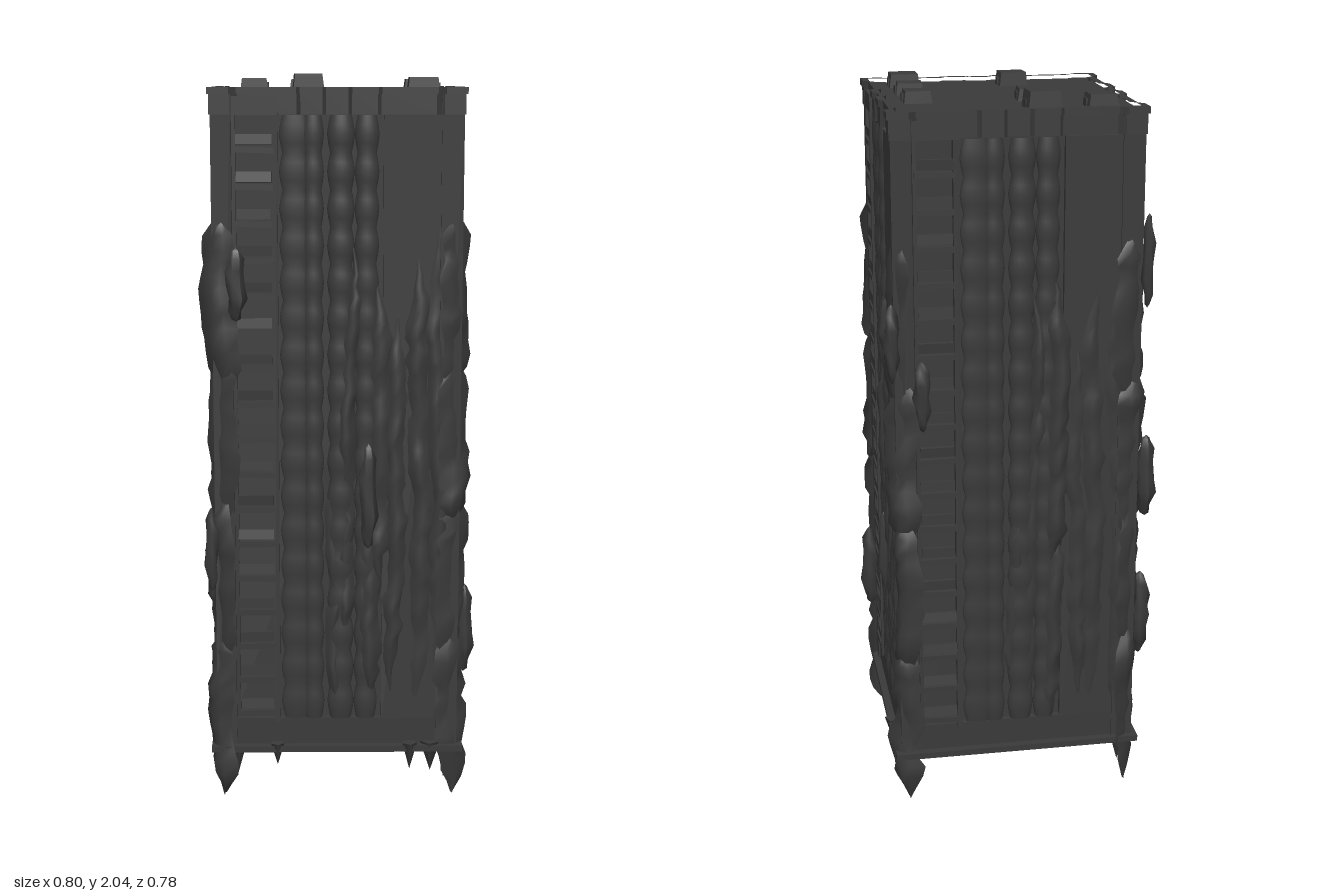
import * as THREE from 'three';

const dark = new THREE.MeshStandardMaterial({ color: 0x3a3a3a });
const darkSheet = new THREE.MeshStandardMaterial({ color: 0x3a3a3a, side: THREE.DoubleSide });

// Small seeded random generator
let seed = 7;
function rnd(a = 0, b = 1) {
  seed = (seed * 16807) % 2147483647;
  return a + (b - a) * (seed / 2147483647);
}

function add(parent, name, geo, x = 0, y = 0, z = 0, mat = dark) {
  const m = new THREE.Mesh(geo, mat);
  m.name = name;
  m.position.set(x, y, z);
  parent.add(m);
  return m;
}

const box = (w, h, d) => new THREE.BoxGeometry(w, h, d);

// Plan outline with corner blocks and tabs, repeated on four sides
function outline(inset) {
  const side = [[-0.348, 0.348], [-0.29, 0.348], [-0.27, 0.332], [-0.12, 0.332], [-0.11, 0.344], [-0.04, 0.344],
    [-0.03, 0.332], [0.03, 0.332], [0.04, 0.344], [0.10, 0.344], [0.11, 0.332], [0.27, 0.332], [0.29, 0.348]];
  const pts = [];
  for (let k = 0; k < 4; k++) {
    const c = Math.round(Math.cos(k * Math.PI / 2)), s = Math.round(Math.sin(k * Math.PI / 2));
    const f = 1 - inset / 0.345;
    for (const [u, d] of side) pts.push(new THREE.Vector2((u * c + d * s) * f, (d * c - u * s) * f));
  }
  return pts;
}

// Ragged overgrowth: wandering cross-sections with torn edges and a bulging crest
function ragged(length, width, bulge) {
  const rows = Math.max(6, Math.round(length / 0.035)), cols = 5, pos = [], idx = [];
  let drift = 0, swell = 0.6;
  for (let i = 0; i <= rows; i++) {
    const t = i / rows;
    const taper = Math.min(1, 6 * t + 0.1, 6 * (1 - t) + 0.05);
    drift = THREE.MathUtils.clamp(drift + rnd(-0.008, 0.008), -0.02, 0.02);
    swell = THREE.MathUtils.clamp(swell + rnd(-0.3, 0.3), 0.25, 1);
    for (let j = 0; j < cols; j++) {
      const s = j / (cols - 1) * 2 - 1;
      const torn = Math.abs(s) === 1 ? rnd(0.75, 1.25) : 1;
      pos.push(drift + s * torn * taper * width / 2, -t * length + rnd(-0.008, 0.008),
        (1 - s * s) * bulge * swell * taper * rnd(0.8, 1.1) - (Math.abs(s) === 1 ? 0.004 : 0));
    }
  }
  for (let i = 0; i < rows; i++) for (let j = 0; j < cols - 1; j++) {
    const a = i * cols + j, b = a + cols;
    idx.push(a, b, a + 1, a + 1, b, b + 1);
  }
  const g = new THREE.BufferGeometry();
  g.setAttribute('position', new THREE.Float32BufferAttribute(pos, 3));
  g.setIndex(idx);
  g.computeVertexNormals();
  return g;
}

// Rounded pilaster with a swelling on every floor
function pilaster(r, depth) {
  const pts = [];
  for (let i = 0; i <= 68; i++) pts.push(new THREE.Vector2(r * (i % 4 === 0 ? 0.8 : i % 4 === 2 ? 1.04 : 0.95), 0.2 + i * 1.69 / 68));
  const g = new THREE.LatheGeometry(pts, 10, -Math.PI / 2, Math.PI);
  g.scale(1, 1, depth / r);
  return g;
}

const FLOORS = 17, PITCH = 1.68 / FLOORS;

function facade(k) {
  const g = new THREE.Group();
  g.name = 'facade';
  // Corner post, bay frame and plain panel
  add(g, 'cornerPost', box(0.055, 1.84, 0.06), -0.312, 1.03, 0.31);
  add(g, 'bayFrame', box(0.015, 1.7, 0.03), -0.168, 1.04, 0.327);
  add(g, 'plainPanel', box(0.2, 1.7, 0.02), 0.225, 1.04, 0.324);
  add(g, 'bayHead', box(0.13, 0.05, 0.03), -0.225, 1.915, 0.326);
  // Stack of open balconies
  for (let i = 0; i < FLOORS; i++) {
    const y = 0.21 + i * PITCH;
    const w = 0.105 + rnd(-0.004, 0.006);
    add(g, 'balconySlab', box(w, 0.016, 0.045), -0.225, y + 0.008, 0.322).rotation.z = rnd(-0.04, 0.04);
    add(g, 'balconyRail', box(w - 0.01, 0.028, 0.01), -0.225, y + 0.035, 0.336).rotation.x = rnd(-0.2, 0.1);
    add(g, 'balconyPost', box(0.01, PITCH, 0.03), -0.278, y + PITCH / 2, 0.327);
  }
  // Rounded pilasters
  for (const [u, r, d] of [[-0.115, 0.04, 0.014], [-0.065, 0.028, 0.018], [0.01, 0.036, 0.022], [0.08, 0.032, 0.02]])
    add(g, 'pilaster', pilaster(r, d), u, 0, 0.325, darkSheet);
  // Overgrowth hanging over the right half
  for (const [u, top, len, w, b] of [[0.04, 1.5, 1.2, 0.05, 0.028], [0.1, 1.48, 0.85, 0.07, 0.03], [0.1, 0.75, 0.55, 0.06, 0.024],
    [0.165, 1.35, 1.1, 0.06, 0.022], [0.22, 1.5, 1.3, 0.07, 0.022], [0.275, 1.62, 1.5, 0.06, 0.02], [-0.01, 0.95, 0.7, 0.04, 0.018]])
    add(g, 'overgrowth', ragged(len + rnd(-0.06, 0.06), w, b), u, top + rnd(-0.05, 0.05), 0.332, darkSheet);
  // Overgrowth wrapped round the right corner
  for (let i = 0; i < 4; i++) {
    const m = add(g, 'cornerOvergrowth', ragged(0.5, 0.1, 0.035), 0.325, 1.64 - i * 0.39, 0.325, darkSheet);
    m.rotation.y = Math.PI / 4 + rnd(-0.35, 0.35);
  }
  g.rotation.y = k * Math.PI / 2;
  return g;
}

// Torn, leafy clump that sticks out from the wall
function clump(h, r) {
  const g = new THREE.SphereGeometry(1, 7, 8);
  const p = g.attributes.position;
  for (let i = 0; i < p.count; i++) {
    const f = 0.78 + 0.22 * Math.sin(p.getX(i) * 7 + p.getY(i) * 11 + p.getZ(i) * 5);
    p.setXYZ(i, p.getX(i) * f * r, p.getY(i) * h / 2, p.getZ(i) * f * r);
  }
  g.computeVertexNormals();
  return g;
}

// Flared rooftop unit
function roofUnit(w, h, d) {
  const g = box(w, h, d), p = g.attributes.position;
  for (let i = 0; i < p.count; i++) if (p.getY(i) > 0) p.setXYZ(i, p.getX(i) * 0.85, p.getY(i), p.getZ(i) * 0.9);
  g.computeVertexNormals();
  return g;
}

export function createModel() {
  seed = 7;
  const model = new THREE.Group();
  model.name = 'ruinedTower';
  const tower = new THREE.Group();
  tower.name = 'tower';
  tower.position.set(0.004, 0, -0.012);
  model.add(tower);

  // Core, plinth and base slab
  add(tower, 'core', box(0.636, 1.83, 0.636), 0, 1.03, 0);
  add(tower, 'plinth', box(0.67, 0.09, 0.67), 0, 0.155, 0);
  add(tower, 'baseSlab', box(0.712, 0.018, 0.715), 0, 0.114, 0);

  // Cornice rim round a slightly sunken roof
  const rim = new THREE.Shape(outline(0));
  rim.holes.push(new THREE.Path(outline(0.02)));
  const rimGeo = new THREE.ExtrudeGeometry(rim, { depth: 0.018, bevelEnabled: false });
  rimGeo.rotateX(-Math.PI / 2);
  add(tower, 'cornice', rimGeo, 0, 1.946, 0);
  const deck = new THREE.ExtrudeGeometry(new THREE.Shape(outline(0.005)), { depth: 0.06, bevelEnabled: false });
  deck.rotateX(-Math.PI / 2);
  add(tower, 'roof', deck, 0, 1.892, 0);

  for (let k = 0; k < 4; k++) tower.add(facade(k));

  // Rooftop units: x, z, width, depth, top
  for (const [x, z, w, d, top] of [[-0.235, -0.25, 0.085, 0.075, 1.988], [-0.075, -0.25, 0.095, 0.085, 2.0], [-0.08, -0.09, 0.095, 0.08, 1.985],
    [0.24, -0.09, 0.08, 0.075, 1.985], [0.24, 0.07, 0.08, 0.07, 1.985], [0.238, 0.23, 0.09, 0.08, 1.99], [-0.075, 0.215, 0.085, 0.065, 1.99]]) {
    const h = top - 1.94;
    add(model, 'roofUnit', roofUnit(w, h, d), x, 1.94 + h / 2, z).rotation.y = rnd(-0.08, 0.08);
    add(model, 'roofHatch', box(0.035, 0.02, 0.03), x + w * 0.3, 1.965, z + 0.005);
  }

  // Larger clumps breaking the silhouette: x, y, z, height, radius
  for (const [x, y, z, h, r] of [[0.365, 0.45, 0.27, 0.26, 0.035], [-0.37, 0.48, -0.28, 0.26, 0.036], [-0.36, 0.93, -0.345, 0.24, 0.036],
    [-0.27, 1.44, 0.348, 0.2, 0.035], [0.09, 0.85, 0.335, 0.3, 0.032], [0.27, 1.2, -0.365, 0.2, 0.03], [0.35, 1.35, -0.36, 0.22, 0.026],
    [-0.35, 1.55, -0.355, 0.26, 0.022], [-0.345, 0.7, 0.335, 0.24, 0.024], [0.355, 0.65, -0.09, 0.24, 0.024]])
    add(model, 'leafClump', clump(h, r), x, y, z).rotation.y = rnd(0, 6);

  // Roots hanging below the base: x, z, tip height, radius
  for (const [x, z, tip, r] of [[-0.28, 0.29, 0.02, 0.03], [-0.165, 0.335, 0.065, 0.02], [0.21, 0.335, 0.05, 0.022], [0.31, 0.3, 0.01, 0.028],
    [0.25, -0.17, 0.02, 0.03], [0.31, -0.32, 0.0, 0.03], [0.27, 0.32, 0.04, 0.03], [-0.3, -0.33, 0.03, 0.028], [-0.3, -0.15, 0.05, 0.022],
    [0.345, -0.15, 0.05, 0.026], [0.34, -0.27, 0.06, 0.022]]) {
    const h = 0.13 - tip;
    const cone = new THREE.ConeGeometry(r, h, 5, 3);
    cone.rotateX(Math.PI);
    add(model, 'hangingRoot', cone, x, tip + h / 2, z).rotation.y = rnd(0, 6);
  }
  return model;
}
